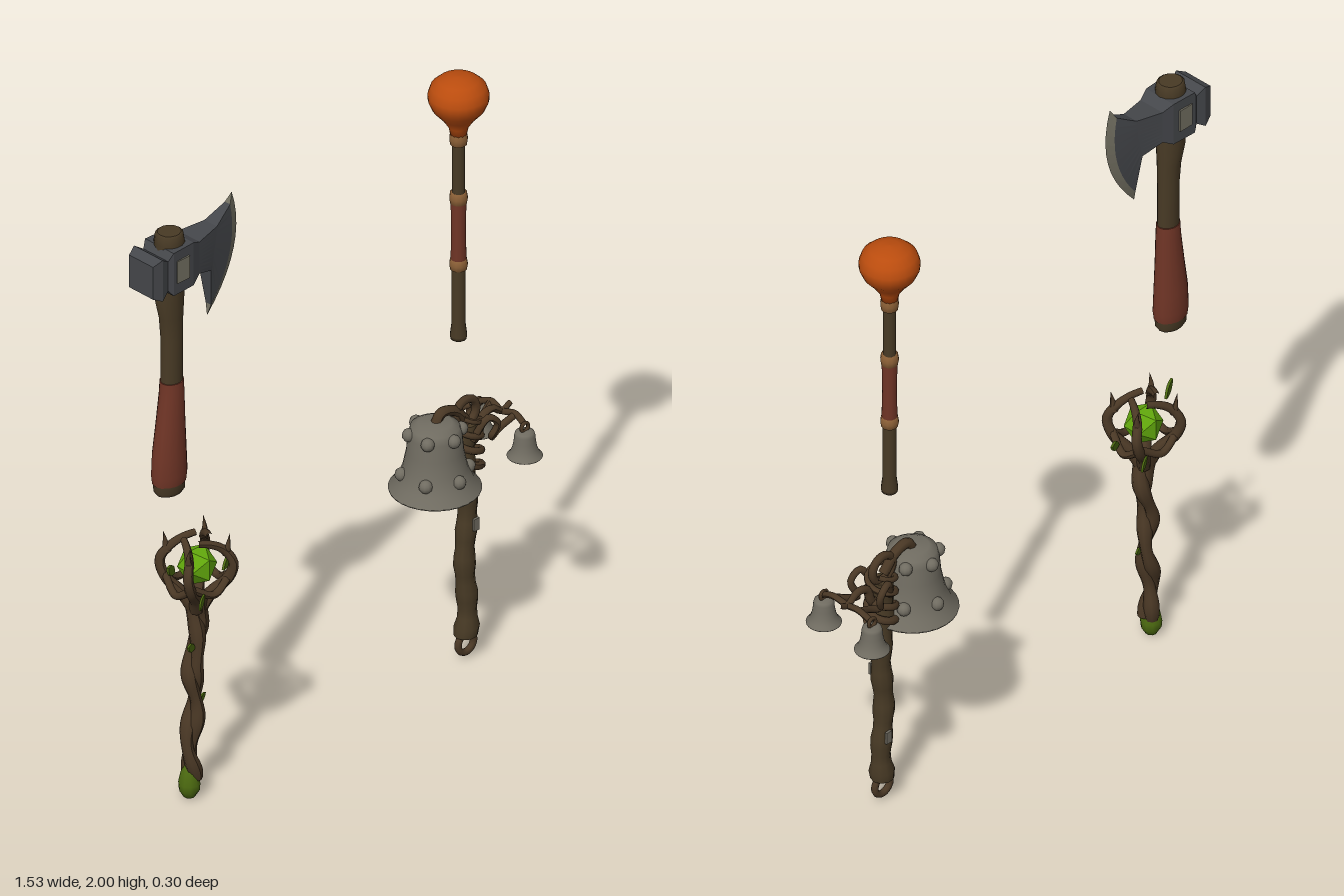
import * as THREE from 'three';

const mat = (name, color, side = THREE.FrontSide) => {
  const m = new THREE.MeshStandardMaterial({ color, side });
  m.name = name;
  return m;
};
const V = (x, y, z = 0) => new THREE.Vector3(x, y, z);

// Skin over a list of closed rings, capped at both ends
function loft(rings, flat = false) {
  const n = rings[0].length, pos = [], idx = [];
  rings.forEach(r => r.forEach(p => pos.push(p.x, p.y, p.z)));
  for (let i = 0; i < rings.length - 1; i++)
    for (let j = 0; j < n; j++) {
      const k = (j + 1) % n, a = i * n + j, b = i * n + k;
      idx.push(a, b, b + n, a, b + n, a + n);
    }
  [0, rings.length - 1].forEach((ri, end) => {
    const c = pos.length / 3, mid = V(0, 0);
    rings[ri].forEach(p => mid.addScaledVector(p, 1 / n));
    rings[ri].forEach(p => pos.push(p.x, p.y, p.z));
    pos.push(mid.x, mid.y, mid.z);
    for (let j = 0; j < n; j++) {
      const a = c + j, b = c + (j + 1) % n;
      end ? idx.push(c + n, a, b) : idx.push(c + n, b, a);
    }
  });
  let g = new THREE.BufferGeometry();
  g.setAttribute('position', new THREE.Float32BufferAttribute(pos, 3));
  g.setIndex(idx);
  if (flat) g = g.toNonIndexed();
  g.computeVertexNormals();
  return g;
}

// Upright shaft from rows of [y, centre x, radius x, radius z]
const shaft = (rows, sides = 14) => loft(rows.map(([y, cx, rx, rz]) =>
  Array.from({ length: sides }, (_, j) => {
    const a = j / sides * Math.PI * 2;
    return V(cx + Math.cos(a) * rx, y, -Math.sin(a) * rz);
  })));

// Curved branch whose radius follows a rule along its length
function branch(points, radius, rule = () => 1, segs = 24) {
  const curve = new THREE.CatmullRomCurve3(points);
  const g = new THREE.TubeGeometry(curve, segs, radius, 8);
  const p = g.attributes.position, v = V(0, 0);
  for (let i = 0; i < p.count; i++) {
    const t = Math.floor(i / 9) / segs, c = curve.getPointAt(t);
    v.fromBufferAttribute(p, i).sub(c).multiplyScalar(rule(t)).add(c);
    p.setXYZ(i, v.x, v.y, v.z);
  }
  g.computeVertexNormals();
  return g;
}
const lathe = (pts, sides = 24) =>
  new THREE.LatheGeometry(pts.map(p => new THREE.Vector2(...p)), sides);

export function createModel() {
  const M = {
    wood: mat('wood', 0x483a25),
    vine: mat('dark vine wood', 0x4a3825),
    leather: mat('red leather', 0x703526),
    steel: mat('dark steel', 0x45474b),
    pale: mat('pale steel', 0x726f61),
    tan: mat('tan binding', 0x8a5f36),
    orange: mat('orange', 0xba4c0e),
    crystal: mat('crystal green', 0x62a80c),
    moss: mat('moss green', 0x4c6a10, THREE.DoubleSide),
    bell: mat('bell grey', 0x706c61, THREE.DoubleSide),
  };
  const model = new THREE.Group();
  const group = name => {
    const g = new THREE.Group();
    g.name = name;
    model.add(g);
    return g;
  };
  const add = (parent, name, geo, m, x = 0, y = 0, z = 0) => {
    const mesh = new THREE.Mesh(geo, m);
    mesh.name = name;
    mesh.position.set(x, y, z);
    parent.add(mesh);
    return mesh;
  };

  // ---- Axe ----
  const axe = group('axe');
  add(axe, 'axeHandle', shaft([[1.45, -.64, .036, .03], [1.6, -.64, .036, .03], [1.68, -.643, .039, .034],
    [1.75, -.65, .047, .042], [1.94, -.65, .047, .045], [1.965, -.65, .043, .041], [1.97, -.65, .036, .034]]), M.wood);
  add(axe, 'axeGrip', shaft([[1.12, -.65, .057, .043], [1.15, -.65, .061, .046], [1.22, -.65, .058, .044],
    [1.32, -.645, .049, .039], [1.42, -.64, .041, .035], [1.46, -.64, .039, .033]]), M.leather);
  add(axe, 'axeButt', shaft([[1.083, -.65, .045, .033], [1.095, -.65, .053, .04], [1.13, -.65, .055, .042]]), M.wood);
  // Head sections: top, control and bottom points of each curve, then half thickness
  const section = ([x0, y0, xc, yc, x1, y1, h]) => {
    const pts = new THREE.QuadraticBezierCurve(new THREE.Vector2(x0, y0),
      new THREE.Vector2(xc, yc), new THREE.Vector2(x1, y1)).getPoints(10);
    return [...pts.map(p => V(p.x, p.y, h)), ...pts.reverse().map(p => V(p.x, p.y, -h))];
  };
  const straight = (x, top, bottom, h) => section([x, top, x, (top + bottom) / 2, x, bottom, h]);
  const bevel = section([-.412, 1.965, -.375, 1.8, -.49, 1.655, .011]);
  add(axe, 'axeHead', loft([straight(-.765, 1.915, 1.805, .05), straight(-.735, 1.93, 1.79, .06),
    straight(-.705, 1.91, 1.81, .052), straight(-.69, 1.935, 1.79, .06), straight(-.605, 1.935, 1.79, .056),
    straight(-.57, 1.918, 1.81, .045), section([-.48, 1.925, -.485, 1.86, -.505, 1.785, .026]), bevel], true), M.steel);
  add(axe, 'axeEdge', loft([bevel, section([-.395, 1.995, -.33, 1.8, -.495, 1.62, .001])], true), M.pale);
  for (const s of [-1, 1])
    add(axe, 'cheekPlate', new THREE.BoxGeometry(.05, .075, .008), M.pale, -.652, 1.865, s * .059);

  // ---- Round-headed club ----
  const club = group('club');
  club.position.x = .533;
  add(club, 'clubHead', lathe([[0, 1.8], [.024, 1.8], [.03, 1.83], [.05, 1.86], [.078, 1.892], [.09, 1.92],
    [.091, 1.94], [.082, 1.967], [.06, 1.987], [.03, 1.998], [0, 2]]), M.orange);
  add(club, 'clubShaft', lathe([[0, 1.108], [.024, 1.108], [.026, 1.12], [.021, 1.16], [.021, 1.34],
    [.019, 1.5], [.02, 1.8]], 12), M.wood);
  add(club, 'clubGrip', lathe([[.021, 1.37], [.024, 1.385], [.022, 1.47], [.024, 1.575], [.021, 1.58]], 12), M.leather);
  for (const [y, h] of [[1.362, .034], [1.588, .036], [1.79, .04]])
    add(club, 'clubBinding', lathe([[.019, -h / 2], [.025, -h / 2], [.028, 0], [.025, h / 2], [.019, h / 2]], 12), M.tan, 0, y);

  // ---- Twisted crystal staff ----
  const staff = group('crystalStaff');
  const spineX = y => -.568 + .035 * y / .7 + .009 * Math.sin(y * 25);
  for (const phase of [0, Math.PI]) {
    const pts = [];
    for (let i = 0; i <= 24; i++) {
      const y = .07 + i * .026, a = y * 16 + phase;
      pts.push(V(spineX(y) + .011 * Math.cos(a), y, .012 * Math.sin(a)));
    }
    add(staff, 'twistedStrand', branch(pts, .021, t => 1 + .15 * Math.sin(t * 26) + .35 * t ** 6, 60), M.vine);
  }
  add(staff, 'mossyFoot', lathe([[0, .005], [.018, .01], [.031, .032], [.033, .055], [.026, .09], [.014, .115],
    [0, .125]], 10), M.moss, -.568);
  const cx = -.538;
  add(staff, 'crystal', new THREE.IcosahedronGeometry(.06, 0), M.crystal, cx + .002, .785).scale.y = 1.1;
  M.crystal.flatShading = true;
  // Cage of four bowed vines with pointed tips
  for (let k = 0; k < 4; k++) {
    const at = (r, y, turn = 0) => {
      const a = Math.PI / 4 + k * Math.PI / 2 + turn;
      return V(cx + r * Math.cos(a), y, r * .88 * Math.sin(a));
    };
    add(staff, 'cageVine', branch([at(.012, .64), at(.045, .69), at(.1, .745, .1), at(.117, .8, .15),
      at(.085, .845, .2), at(.05, .868, .6), at(.04, .875, 1.4)], .019, t => 1.15 - .6 * t), M.vine);
    add(staff, 'cageThorn', branch([at(.095, .825, .15), at(.1, .855, .18), at(.105, .895, .12)],
      .014, t => 1 - .98 * t, 8), M.vine);
    add(staff, 'cageRung', branch([at(.102, .75, .1), at(.085, .715, .8), at(.1, .755, 1.65)], .012), M.vine);
  }
  // Leaves: position, direction in degrees, length
  const leafShape = new THREE.Shape();
  leafShape.moveTo(0, 0);
  leafShape.quadraticCurveTo(.5, .48, 1, 0);
  leafShape.quadraticCurveTo(.5, -.48, 0, 0);
  const leafGeo = new THREE.ExtrudeGeometry(leafShape, { depth: .12, bevelEnabled: false, curveSegments: 6 });
  for (const [x, y, z, deg, size] of [[-.645, .808, .01, 140, .065], [-.455, .74, .02, 25, .06],
    [-.562, .515, .01, 150, .055], [-.54, .32, .01, 15, .045], [-.59, .74, .08, 230, .05], [-.47, .74, -.08, -40, .05]]) {
    const leaf = add(staff, 'leaf', leafGeo, M.moss, x, y, z);
    leaf.scale.setScalar(size);
    leaf.rotation.set(0, .4, deg * Math.PI / 180);
  }

  // ---- Bell staff ----
  const bells = group('bellStaff');
  const rows = [];
  for (let i = 0; i <= 24; i++) {
    const y = .085 + i * .03, r = .032 + .003 * Math.sin(i * 1.7) + (i < 2 ? .005 : 0);
    rows.push([y, .563 + .006 * Math.sin(i * .55), r, r * .95]);
  }
  add(bells, 'bellShaft', shaft(rows, 10), M.wood);
  add(bells, 'footRing', new THREE.TorusGeometry(.032, .011, 8, 20), M.vine, .563, .057);
  add(bells, 'topRing', new THREE.TorusGeometry(.042, .013, 8, 20), M.vine, .563, .843);
  for (const [y, s] of [[.47, 1], [.25, -1], [.6, 1]])
    add(bells, 'shaftPatch', new THREE.BoxGeometry(.022, .04, .008), M.bell, .572, y, s * .033);
  // Vines wound around the upper shaft
  for (const phase of [0, Math.PI]) {
    const pts = [];
    for (let i = 0; i <= 20; i++) {
      const a = i * .6 + phase;
      pts.push(V(.568 + .042 * Math.cos(a), .65 + i * .0095, .042 * Math.sin(a)));
    }
    add(bells, 'windingVine', branch(pts, .012, t => 1.1 - .4 * t, 50), M.vine);
  }
  // Bell, shared by the large and small sizes
  const bellGeo = lathe([[0, .225], [.05, .222], [.073, .21], [.08, .185], [.085, .13], [.096, .075], [.115, .03],
    [.138, .005], [.137, 0], [.127, 0], [.1, .035], [.084, .075], [.073, .13], [.066, .185], [0, .205]].reverse(), 28);
  const makeBell = (name, x, y, z, s) => {
    const g = new THREE.Group();
    g.name = name;
    g.position.set(x, y, z);
    g.scale.setScalar(s);
    bells.add(g);
    add(g, 'bellBody', bellGeo, M.bell);
    add(g, 'clapperRod', new THREE.CylinderGeometry(.012, .012, .24, 8), M.vine, 0, .09);
    add(g, 'clapper', new THREE.SphereGeometry(.035, 14, 10), M.vine, 0, -.042);
    return g;
  };
  const big = makeBell('largeBell', .437, .638, 0, 1);
  for (const [y, r, n, turn] of [[.19, .079, 6, 0], [.06, .101, 6, 0]])
    for (let k = 0; k < n; k++) {
      const a = (k + turn) / n * Math.PI * 2;
      add(big, 'rivet', new THREE.SphereGeometry(.021, 10, 8), M.bell, Math.sin(a) * r, y, Math.cos(a) * r);
    }
  add(bells, 'bellArm', branch([V(.437, .85), V(.46, .88), V(.51, .87), V(.56, .82)], .016), M.vine);
  add(bells, 'sideArm', branch([V(.56, .72), V(.61, .75), V(.63, .8), V(.67, .81), V(.71, .785), V(.745, .8)], .014,
    t => 1.2 - .6 * t), M.vine);
  add(bells, 'crossBar', branch([V(.71, .775, -.1), V(.715, .795, -.05), V(.71, .785), V(.715, .795, .05),
    V(.71, .775, .1)], .01), M.vine);
  for (const s of [-1, 1]) {
    makeBell('smallBell', .708, .675, s * .098, .385);
    add(bells, 'bellLoop', new THREE.TorusGeometry(.014, .006, 6, 14), M.vine, .708, .772, s * .098);
    add(bells, 'curlingVine', branch([V(.56, .76, s * .03), V(.6, .83, s * .055), V(.635, .8, s * .06),
      V(.62, .75, s * .045), V(.66, .765, s * .04), V(.71, .79, s * .05)], .011), M.vine);
  }
  return model;
}
